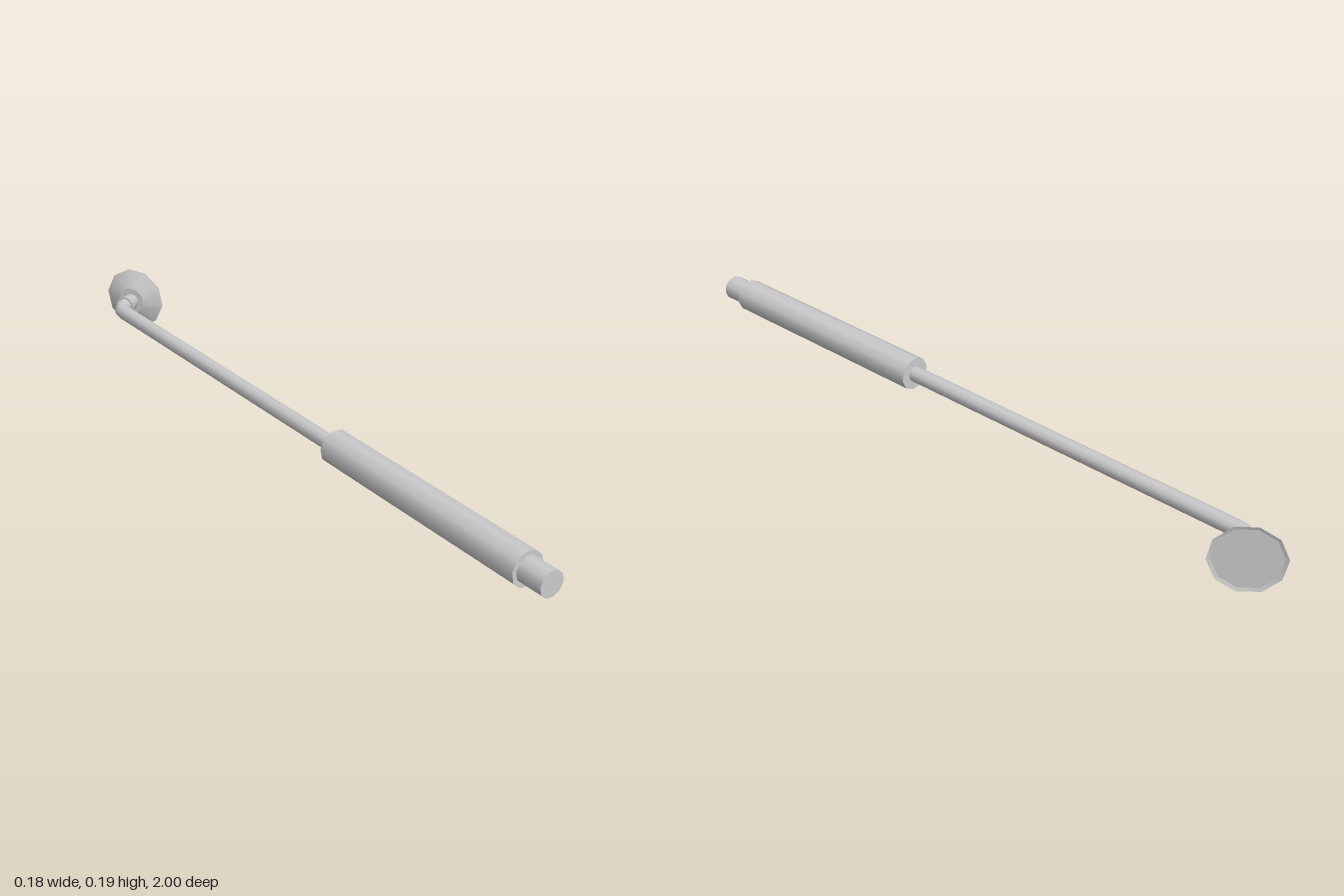
import * as THREE from 'three';
import { mergeGeometries } from 'three/addons/utils/BufferGeometryUtils.js';

const SIDES = 10;
const TURN = THREE.MathUtils.degToRad(11);
const AXIS_X = -0.046, AXIS_Y = 0.094;

const material = new THREE.MeshStandardMaterial({ color: 0xcccccc });

// Turns a profile of [radius, z] around z, smooth around but sharp between steps
function turned(name, profile, turn = TURN) {
  const bands = [];
  for (let i = 0; i < profile.length - 1; i++) {
    const pair = [profile[i], profile[i + 1]].map(p => new THREE.Vector2(...p));
    bands.push(new THREE.LatheGeometry(pair, SIDES, turn));
  }
  const mesh = new THREE.Mesh(mergeGeometries(bands).rotateX(Math.PI / 2), material);
  mesh.name = name;
  return mesh;
}

export function createModel() {
  const model = new THREE.Group();
  model.name = 'inspectionMirror';

  // Straight parts share one axis
  const shaft = new THREE.Group();
  shaft.name = 'shaft';
  shaft.position.set(AXIS_X, AXIS_Y, 0);
  shaft.add(
    turned('handle', [[0, 0.225], [0.047, 0.225], [0.047, 0.925], [0.035, 0.925]]),
    turned('endCap', [[0.035, 0.92], [0.035, 1], [0, 1]]),
    turned('rod', [[0.022, -0.835], [0.022, 0.23]])
  );
  model.add(shaft);

  // Tilted head: local z is the direction the mirror faces
  const facing = new THREE.Vector3(0.845, 0, -0.535).normalize();
  const head = new THREE.Group();
  head.name = 'head';
  head.position.set(0.039, AXIS_Y, -0.923);
  head.rotation.y = Math.atan2(facing.x, facing.z);
  head.add(
    turned('neck', [[0, -0.068], [0.029, -0.068], [0.023, -0.024]], -TURN),
    turned('mirrorBack', [[0, -0.025], [0.041, -0.025], [0.0945, 0], [0.085, -0.003]], -TURN),
    turned('mirrorFace', [[0.085, -0.003], [0, -0.003]], -TURN)
  );
  model.add(head);

  // Elbow joins the rod to the neck
  const end = head.position.clone().addScaledVector(facing, -0.066);
  const bend = new THREE.QuadraticBezierCurve3(
    new THREE.Vector3(AXIS_X, AXIS_Y, -0.835),
    new THREE.Vector3(AXIS_X, AXIS_Y, -0.874),
    end
  );
  const elbow = new THREE.Mesh(new THREE.TubeGeometry(bend, 6, 0.022, SIDES), material);
  elbow.name = 'elbow';
  model.add(elbow);

  return model;
}
